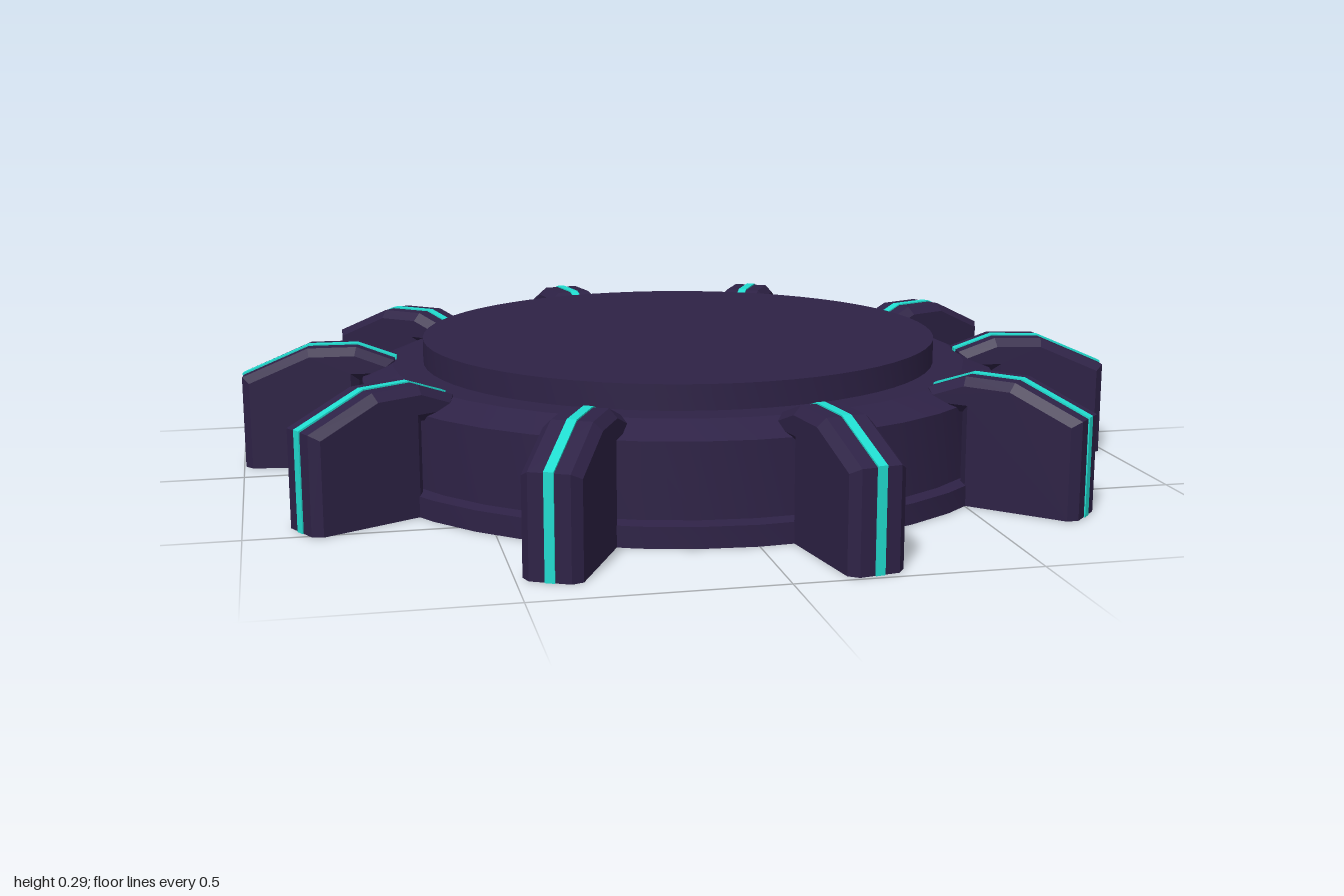
import * as THREE from 'three';
import { toCreasedNormals } from 'three/addons/utils/BufferGeometryUtils.js';

const FIN_COUNT = 10;
const FIRST_ANGLE = 8; // degrees

// Radial fin outline (radius, height), grown outward by g
function finShape(g = 0) {
  return new THREE.Shape([
    [0.735, 0], [1 + g, 0], [1 + g, 0.21 + g], [0.85 + g / 2, 0.275 + g],
    [0.74, 0.277 + g], [0.655 - g, 0.245 + g], [0.655 - g, 0.2], [0.735, 0.2],
  ].map(([x, y]) => new THREE.Vector2(x, y)));
}

// Lathe a profile with crisp rings
function turned(points, segments) {
  const lathe = new THREE.LatheGeometry(points.map(([x, y]) => new THREE.Vector2(x, y)), segments);
  return toCreasedNormals(lathe, 0.35);
}

// Thick slab with bevelled long edges and a flat foot
function finGeometry(width, bevel) {
  const geo = new THREE.ExtrudeGeometry(finShape(), {
    depth: width - 2 * bevel, bevelEnabled: true, bevelSegments: 1,
    bevelSize: bevel, bevelThickness: bevel, bevelOffset: -bevel,
  });
  geo.translate(0, 0, -(width - 2 * bevel) / 2);
  const p = geo.attributes.position;
  for (let i = 0; i < p.count; i++) if (p.getY(i) < 0.05) p.setY(i, 0);
  geo.computeVertexNormals();
  return geo;
}

export function createModel() {
  const hull = new THREE.MeshStandardMaterial({ color: 0x2e2246 });
  hull.name = 'dark violet';
  const glow = new THREE.MeshStandardMaterial({ color: 0x20dccf });
  glow.name = 'turquoise';

  const model = new THREE.Group();
  model.name = 'finnedDisc';
  const add = (parent, name, geo, mat) => {
    const mesh = new THREE.Mesh(geo, mat);
    mesh.name = name;
    parent.add(mesh);
    return mesh;
  };

  // Stepped body with a shallow recess underneath
  add(model, 'body', turned([
    [0, 0.05], [0.742, 0.05], [0.742, 0], [0.76, 0], [0.76, 0.045], [0.73, 0.05],
    [0.73, 0.21], [0.66, 0.24], [0, 0.24],
  ], 40), hull);

  // Raised round plate on top
  add(model, 'topPlate', turned([[0.59, 0.235], [0.59, 0.295], [0, 0.295]], 64), hull);

  // Fins with a thin bright strip along the outer edge
  const finGeo = finGeometry(0.12, 0.018);
  const stripGeo = new THREE.ExtrudeGeometry(finShape(0.003), { depth: 0.02, bevelEnabled: false });
  stripGeo.translate(0, 0, -0.01);
  for (let i = 0; i < FIN_COUNT; i++) {
    const fin = new THREE.Group();
    fin.name = `fin${i + 1}`;
    add(fin, 'finBlade', finGeo, hull);
    add(fin, 'finStrip', stripGeo, glow);
    fin.rotation.y = -THREE.MathUtils.degToRad(FIRST_ANGLE + i * 360 / FIN_COUNT);
    model.add(fin);
  }
  return model;
}
